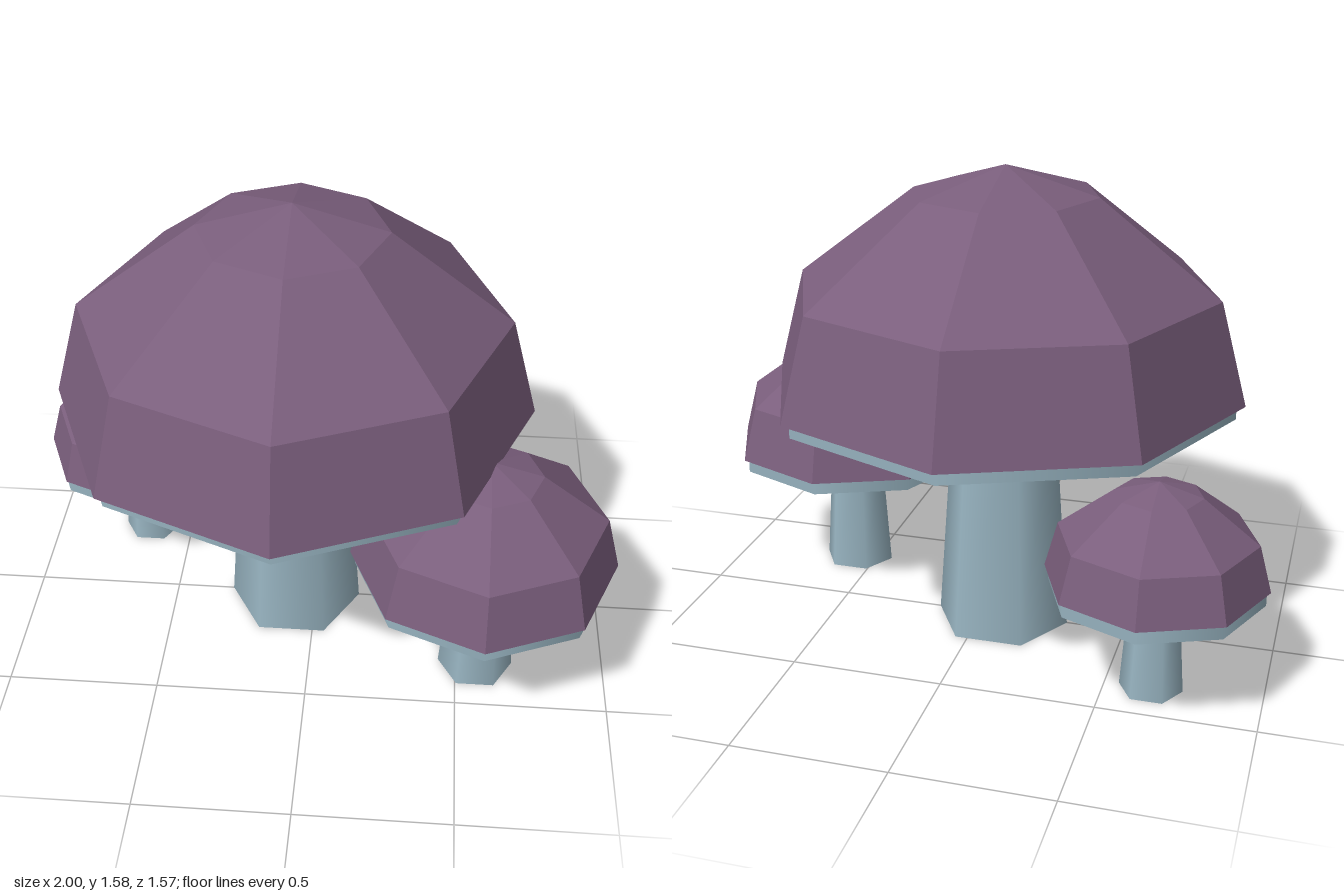
import * as THREE from 'three';

const capMaterial = new THREE.MeshStandardMaterial({ color: 0x7a5e7c });
capMaterial.name = 'plum cap';
const stemMaterial = new THREE.MeshStandardMaterial({ color: 0x98b4c1 });
stemMaterial.name = 'pale blue stem';

// Faceted eight-sided dome, closed underneath; profile is [radius, y] from rim to tip
function capGeometry(profile) {
  const points = [[0, profile[0][1]], ...profile].map(([r, y]) => new THREE.Vector2(r, y));
  const geometry = new THREE.LatheGeometry(points, 8).toNonIndexed();
  geometry.computeVertexNormals();
  return geometry;
}

function addPart(group, name, geometry, material) {
  const mesh = new THREE.Mesh(geometry, material);
  mesh.name = name;
  group.add(mesh);
  return mesh;
}

function createMushroom({ name, x, z, profile, gillRadius, stemBottom, stemTop }) {
  const group = new THREE.Group();
  group.name = name;
  group.position.set(x, 0, z);

  const rimY = profile[0][1];
  const gillHeight = 0.045;
  const stemHeight = rimY - gillHeight;

  addPart(group, 'cap', capGeometry(profile), capMaterial);

  // Thin disc under the cap
  const gills = addPart(group, 'gills',
    new THREE.CylinderGeometry(gillRadius, gillRadius, gillHeight, 8), stemMaterial);
  gills.position.y = rimY - gillHeight / 2;

  // Tapered six-sided stem with corners pointing along x
  const stem = addPart(group, 'stem',
    new THREE.CylinderGeometry(stemTop, stemBottom, stemHeight, 6), stemMaterial);
  stem.position.y = stemHeight / 2;
  stem.rotation.y = Math.PI / 2;
  return group;
}

export function createModel() {
  const model = new THREE.Group();
  model.name = 'mushroomCluster';
  const mushrooms = [
    {
      name: 'largeMushroom', x: -0.073, z: 0,
      profile: [[0.785, 0.85], [0.695, 1.185], [0.302, 1.487], [0, 1.575]],
      gillRadius: 0.757, stemBottom: 0.227, stemTop: 0.173,
    },
    {
      name: 'mediumMushroom', x: 0.567, z: 0.303,
      profile: [[0.433, 0.47], [0.384, 0.655], [0.167, 0.818], [0, 0.866]],
      gillRadius: 0.417, stemBottom: 0.125, stemTop: 0.096,
    },
    {
      name: 'smallMushroom', x: -0.648, z: -0.335,
      profile: [[0.352, 0.385], [0.312, 0.535], [0.136, 0.67], [0, 0.71]],
      gillRadius: 0.34, stemBottom: 0.102, stemTop: 0.078,
    },
  ];
  mushrooms.forEach((m) => model.add(createMushroom(m)));
  return model;
}
